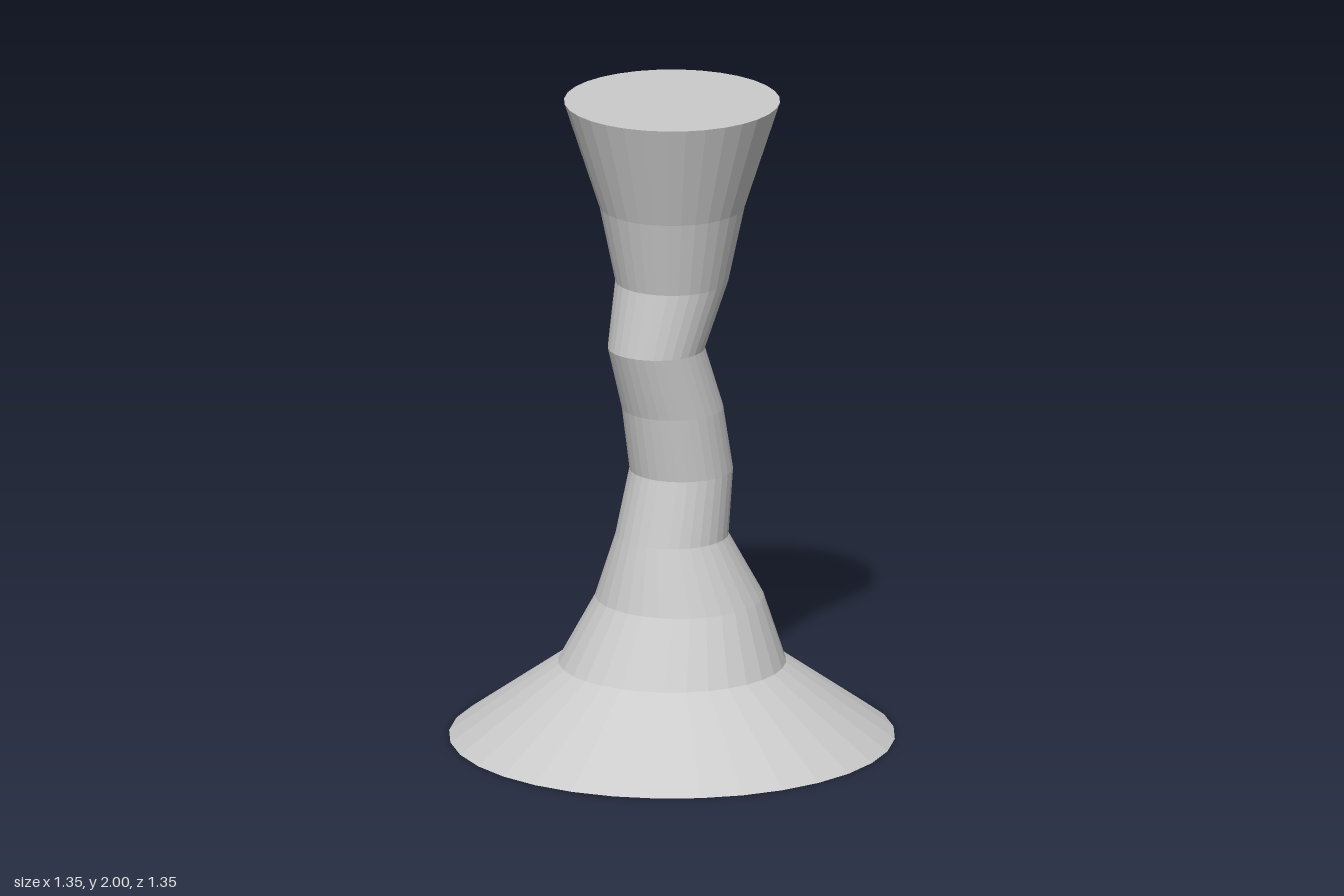
import * as THREE from 'three';

// Rings from bottom to top: [height, radius, sideways shift in x]
const RINGS = [
  [0, 0.675, 0],
  [0.235, 0.345, 0],
  [0.435, 0.255, 0.03],
  [0.635, 0.171, 0],
  [0.835, 0.157, 0.037],
  [1.035, 0.154, 0.002],
  [1.235, 0.147, -0.063],
  [1.435, 0.171, -0.001],
  [1.67, 0.22, 0],
  [2, 0.327, 0],
];

export function createModel() {
  const group = new THREE.Group();
  group.name = 'twistedPedestal';

  // Capped unit cylinder with one height step per ring interval
  const steps = RINGS.length - 1;
  const geometry = new THREE.CylinderGeometry(1, 1, steps, 32, steps);

  // Each vertex row takes the height, radius and shift of its ring
  const pos = geometry.attributes.position;
  for (let i = 0; i < pos.count; i++) {
    const [y, r, shift] = RINGS[Math.round(pos.getY(i) + steps / 2)];
    pos.setXYZ(i, pos.getX(i) * r + shift, y, pos.getZ(i) * r);
  }
  geometry.computeVertexNormals();

  const material = new THREE.MeshStandardMaterial({ color: 0xcccccc, flatShading: true });
  const column = new THREE.Mesh(geometry, material);
  column.name = 'column';
  group.add(column);
  return group;
}
